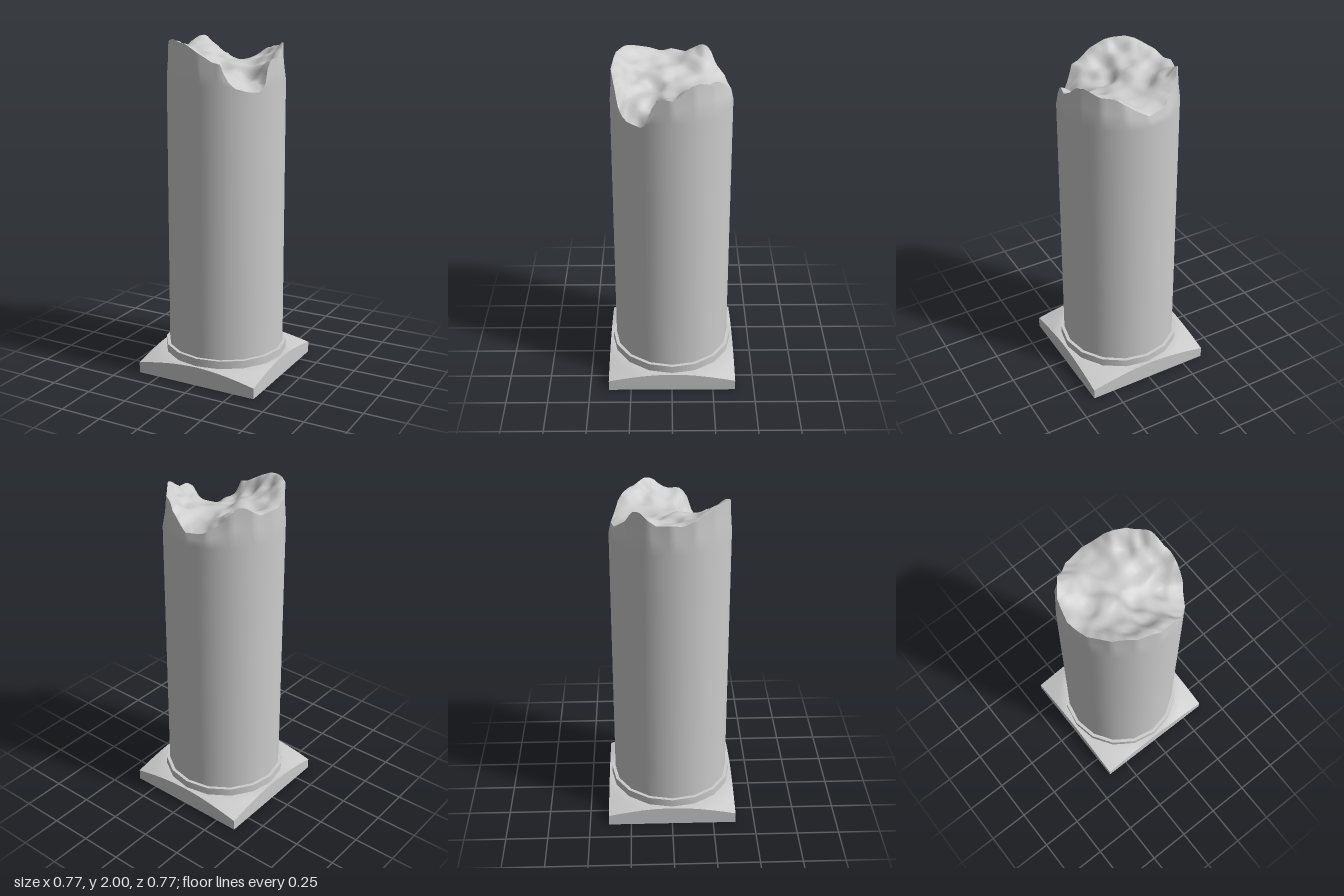
import * as THREE from 'three';
import { toCreasedNormals } from 'three/addons/utils/BufferGeometryUtils.js';

const SEGS = 96;
const SIDE = Math.PI / 8; // sixteen-sided shaft
const clamp = THREE.MathUtils.clamp;

// Broken rim: [angle in degrees from +x towards +z, height]
const RIM = [
  [0, 1.89], [10, 1.9], [18, 1.86], [22, 1.77], [28, 1.72], [42, 1.73], [54, 1.75], [62, 1.8],
  [67, 1.88], [75, 1.89], [90, 1.94], [104, 1.98], [126, 2.0], [140, 1.98], [156, 1.95],
  [170, 1.92], [180, 1.93], [195, 1.92], [212, 1.98], [220, 1.98], [233, 1.9], [253, 1.83],
  [270, 1.82], [280, 1.85], [302, 1.93], [320, 1.94], [333, 1.97], [343, 1.96], [352, 1.91], [360, 1.89],
];

// Heights inside the break: [x, z, y]
const HOLLOW = [
  [0, 0, 1.86], [0.15, 0, 1.84], [0.25, 0, 1.86], [0.2, 0.12, 1.77], [0.1, 0.17, 1.82],
  [0, 0.2, 1.86], [0.03, 0.1, 1.82], [-0.1, 0.1, 1.9], [-0.1, 0.04, 1.91], [-0.2, 0.1, 1.92],
  [-0.2, 0, 1.89], [-0.1, -0.1, 1.87], [-0.2, -0.15, 1.93], [0, -0.15, 1.85], [0, -0.25, 1.84],
  [0.15, -0.15, 1.87], [0.24, -0.12, 1.9], [-0.12, 0.22, 1.93],
];

function rimHeight(a) {
  const d = THREE.MathUtils.radToDeg(a);
  const k = Math.max(1, RIM.findIndex((p) => p[0] >= d));
  const [a0, y0] = RIM[k - 1], [a1, y1] = RIM[k];
  return y0 + (y1 - y0) * (d - a0) / (a1 - a0);
}

// Shaft radius: slight taper, with a worn edge that is stronger at the back
function shaftRadius(a, y) {
  const facet = Math.cos(SIDE / 2) / Math.cos((a % SIDE) - SIDE / 2);
  const wear = clamp((y - 1.76) / 0.13, 0, 1) * (0.01 + 0.02 * Math.max(0, -Math.sin(a)));
  return (0.348 - 0.004 * y / 1.8) * facet - wear;
}

function rimPoint(a) {
  const y = rimHeight(a), r = shaftRadius(a, y);
  return [r * Math.cos(a), y, r * Math.sin(a)];
}

const CONTROL = HOLLOW.map(([x, z, y]) => [x, y, z]);
for (let d = 0; d < 360; d += 12) CONTROL.push(rimPoint(THREE.MathUtils.degToRad(d)));

// Distance-weighted mean of the control heights
function breakHeight(x, z) {
  let sum = 0, total = 0;
  for (const [px, py, pz] of CONTROL) {
    const w = 1 / (((x - px) ** 2 + (z - pz) ** 2) ** 1.75 + 1e-6);
    sum += w * py;
    total += w;
  }
  return sum / total;
}

// Closed loops of points joined into one skin
function skin(rows, pointAt) {
  const pos = [], index = [];
  for (let i = 0; i < rows; i++) {
    for (let j = 0; j < SEGS; j++) {
      pos.push(...pointAt(i, (j / SEGS) * Math.PI * 2));
      if (i === rows - 1) continue;
      const a = i * SEGS + j, b = i * SEGS + (j + 1) % SEGS;
      index.push(a, a + SEGS, b + SEGS, a, b + SEGS, b);
    }
  }
  const g = new THREE.BufferGeometry();
  g.setAttribute('position', new THREE.Float32BufferAttribute(pos, 3));
  g.setIndex(index);
  g.computeVertexNormals();
  return g;
}

export function createModel() {
  const group = new THREE.Group();
  const material = new THREE.MeshStandardMaterial({ color: 0xcccccc, side: THREE.DoubleSide });
  const add = (name, geometry) => {
    const mesh = new THREE.Mesh(geometry, material);
    mesh.name = name;
    group.add(mesh);
    return mesh;
  };

  // Square plinth whose top falls away towards the corners
  const plinth = new THREE.BoxGeometry(0.77, 0.115, 0.77, 16, 1, 16).translate(0, 0.0575, 0);
  const p = plinth.attributes.position;
  for (let i = 0; i < p.count; i++) {
    if (p.getY(i) < 0.1) continue;
    const r = Math.hypot(p.getX(i), p.getZ(i));
    p.setY(i, 0.115 - Math.max(0, r - 0.385) * 0.31);
  }
  add('plinth', toCreasedNormals(plinth, 0.5));

  // Base ring
  const ring = new THREE.CylinderGeometry(0.368, 0.368, 0.05, 16);
  add('baseRing', ring).position.y = 0.137;

  // Shaft wall up to the broken rim, shaded as a smooth round
  const wall = skin(5, (i, a) => {
    const top = rimHeight(a), shoulder = Math.min(1.76, top - 0.01);
    const y = [0.115, 1.4, shoulder, (shoulder + top) / 2, top][i];
    const r = shaftRadius(a, y);
    return [r * Math.cos(a), y, r * Math.sin(a)];
  });
  const n = wall.attributes.normal;
  for (let i = 0; i < SEGS * 3; i++) {
    const a = ((i % SEGS) / SEGS) * Math.PI * 2;
    n.setXYZ(i, Math.cos(a), 0, Math.sin(a));
  }
  add('shaft', wall);

  // Uneven broken top
  const RINGS = 14;
  add('brokenTop', skin(RINGS + 1, (i, a) => {
    const [x, y, z] = rimPoint(a);
    const t = 1 - i / RINGS;
    return i === 0 ? [x, y, z] : [x * t, breakHeight(x * t, z * t), z * t];
  }));

  return group;
}
